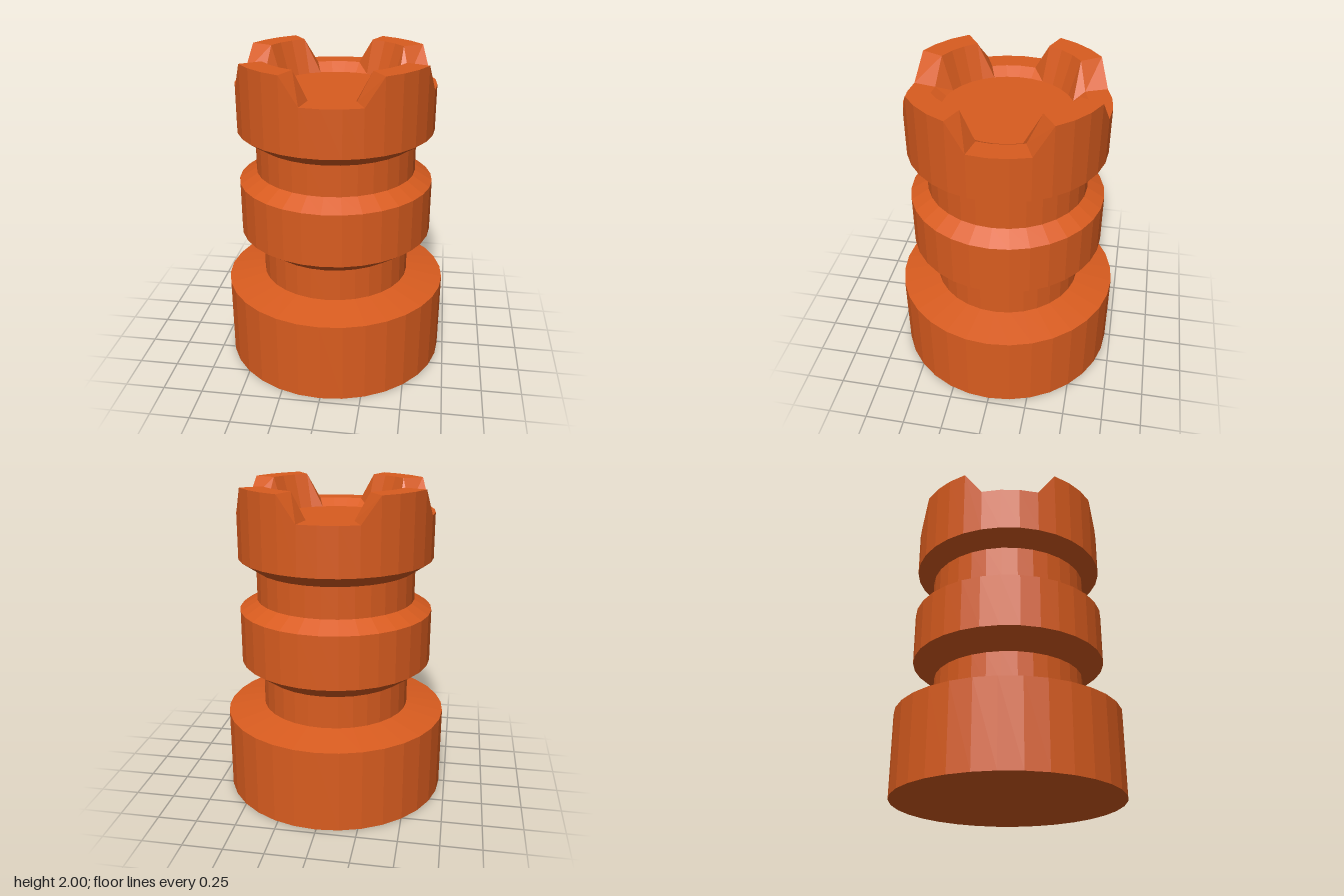
import * as THREE from 'three';

const SIDES = 32;

export function createModel() {
  const group = new THREE.Group();
  const material = new THREE.MeshStandardMaterial({ color: 0xd95c1f, flatShading: true });

  // Turned section from [radius, height] pairs, listed from bottom to top
  const turned = (name, profile) => {
    const points = profile.map(([r, y]) => new THREE.Vector2(r, y));
    const mesh = new THREE.Mesh(new THREE.LatheGeometry(points, SIDES), material);
    mesh.name = name;
    group.add(mesh);
    return mesh;
  };

  turned('base', [[0, 0], [0.713, 0], [0.713, 0.525], [0.475, 0.57]]);
  turned('lowerNeck', [[0.475, 0.57], [0.475, 0.78]]);
  turned('middleRing', [[0.475, 0.78], [0.613, 0.88], [0.613, 1.215], [0.503, 1.28]]);
  turned('upperNeck', [[0.503, 1.28], [0.503, 1.475]]);

  // Crown: outer wall, rim, sloping inner wall and sunken floor
  const crownProfile = [[0.503, 1.475], [0.613, 1.55], [0.613, 2], [0.472, 2], [0.4, 1.79], [0, 1.79]];
  const crown = turned('crown', crownProfile);

  // Lower the rim in four notches; one side between notch and merlon is the ramp
  const notchHeights = [1.837, 1.832, 1.845, 1.834];
  const position = crown.geometry.attributes.position;
  for (let i = 0; i <= SIDES; i++) {
    const step = (i + 1) % SIDES;
    if (step % 8 > 3) continue;
    for (const rim of [2, 3]) {
      position.setY(i * crownProfile.length + rim, notchHeights[Math.floor(step / 8)]);
    }
  }
  crown.geometry.computeVertexNormals();

  return group;
}
